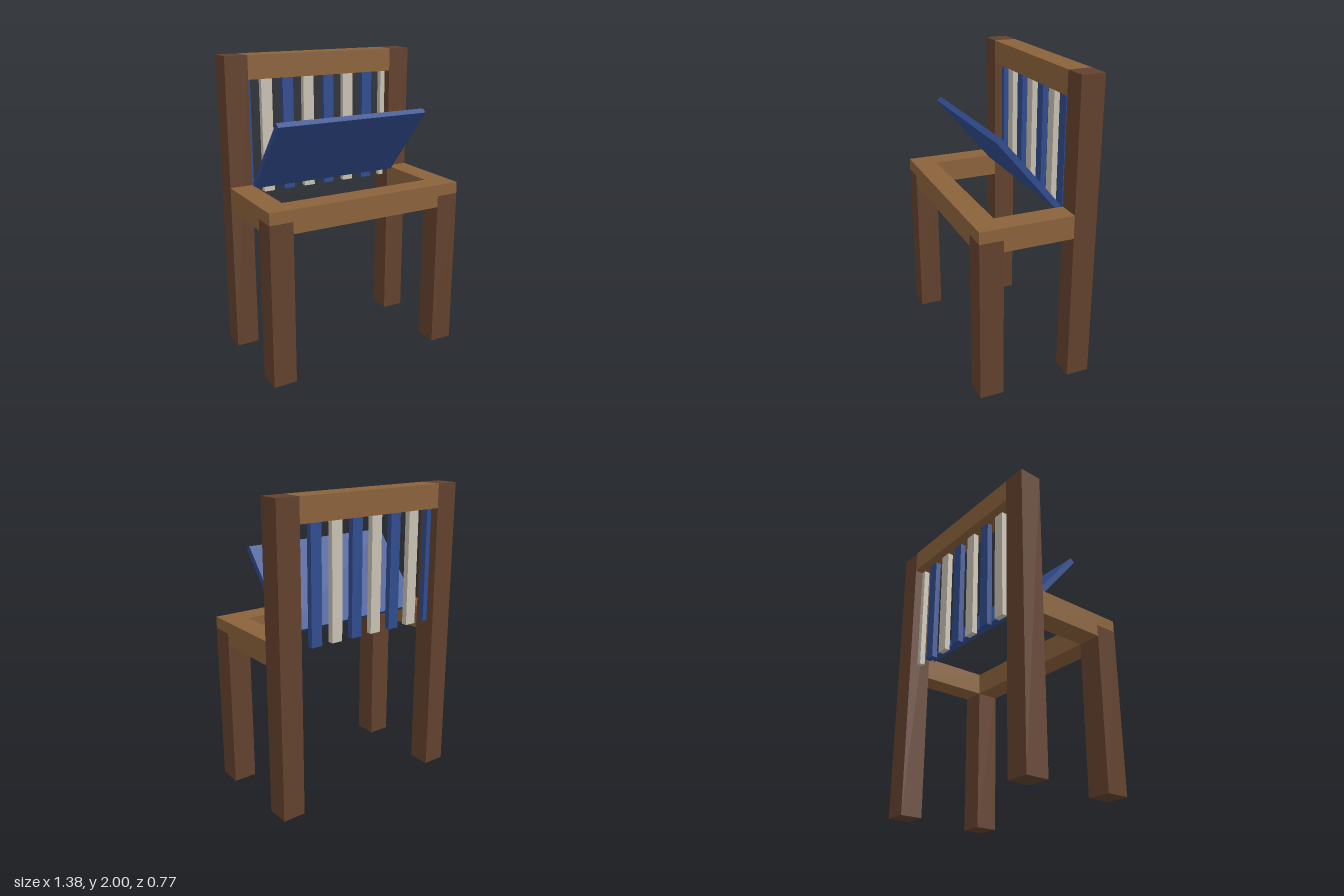
import * as THREE from 'three';

const mat = (name, color) => {
  const m = new THREE.MeshStandardMaterial({ color });
  m.name = name;
  return m;
};

export function createModel() {
  const chair = new THREE.Group();
  chair.name = 'chair';
  const darkWood = mat('dark wood', 0x62412d);
  const lightWood = mat('light wood', 0x8a623b);
  const blue = mat('blue paint', 0x304c8e);
  const cream = mat('cream paint', 0xc8c1b3);

  // box given by its low and high corners
  const box = (name, material, [x0, y0, z0], [x1, y1, z1]) => {
    const mesh = new THREE.Mesh(new THREE.BoxGeometry(x1 - x0, y1 - y0, z1 - z0), material);
    mesh.position.set((x0 + x1) / 2, (y0 + y1) / 2, (z0 + z1) / 2);
    mesh.name = name;
    chair.add(mesh);
    return mesh;
  };

  const W = 0.69, D = 0.385, T = 0.154; // half width, half depth, beam thickness
  const seatLow = 1.0, seatHigh = 1.154;
  const e = 0.001; // keeps the leg faces just proud of the seat frame

  // legs and side rails, mirrored
  for (const [side, s] of [['left', 1], ['right', -1]]) {
    const inner = W - T;
    const x0 = s > 0 ? inner : -W, x1 = s > 0 ? W : -inner;
    box(side + 'BackLeg', darkWood, [x0, 0, -D], [x1, 2, -D + T]);
    box(side + 'FrontLeg', darkWood, [x0 - e, 0, D - T - e], [x1 + e, 1.077, D + e]);
    box(side + 'SeatRail', lightWood, [x0, seatLow, -D + T], [x1, seatHigh, D - T]);
  }

  // front seat rail and top rail
  box('frontSeatRail', lightWood, [-W, seatLow, D - T], [W, seatHigh, D]);
  box('topRail', lightWood, [-W + T, 2 - T, -D], [W - T, 2, -D + T]);

  // backrest slats in alternating colours, the outer two sunk into the legs
  const slats = 8, pitch = 0.154, slatW = 0.077, slatD = 0.0385, slatZ = -D + T / 2;
  for (let i = 0; i < slats; i++) {
    const x = (i - (slats - 1) / 2) * pitch;
    box('backSlat' + (i + 1), i % 2 ? cream : blue,
      [x - slatW / 2, 1.077, slatZ - slatD / 2], [x + slatW / 2, 1.923, slatZ + slatD / 2]);
  }

  // hinged seat panel, raised at the front
  const panel = box('seatPanel', blue, [-0.538, 1.37, -0.31], [0.538, 1.408, 0.304]);
  panel.rotation.x = -THREE.MathUtils.degToRad(50);

  return chair;
}
